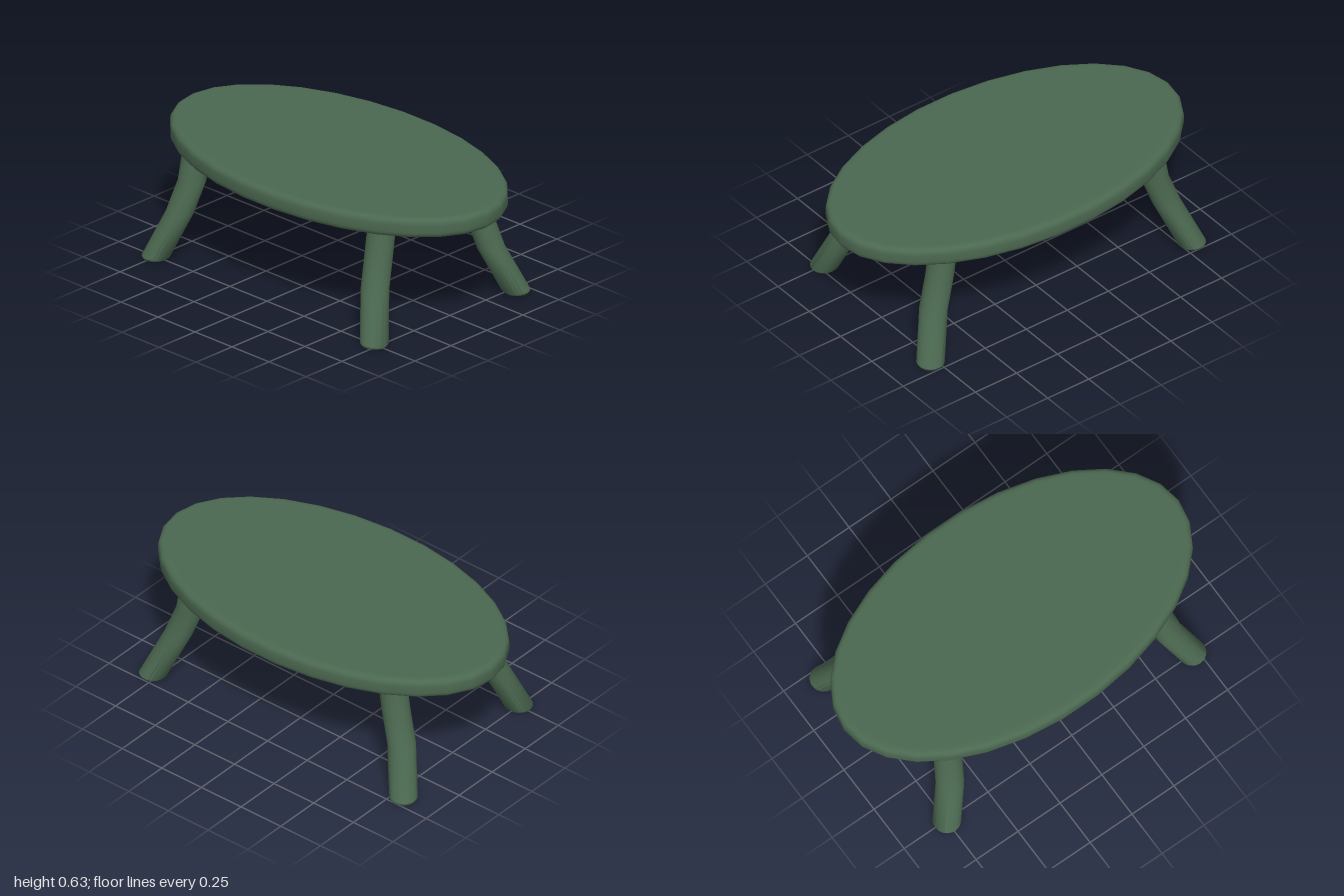
import * as THREE from 'three';
import { toCreasedNormals } from 'three/addons/utils/BufferGeometryUtils.js';

const material = new THREE.MeshStandardMaterial({ color: 0x4b6850 });

// Oval slab with a rounded rim of even width, 30 sides
function tabletopGeometry() {
  const y0 = 0.535, y1 = 0.635, r = 0.03, rx = 1, rz = 0.575, steps = 4;
  const profile = [new THREE.Vector2(0, y0), new THREE.Vector2(0.95, y0)];
  for (const [cy, start] of [[y0 + r, -Math.PI / 2], [y1 - r, 0]]) {
    for (let i = 0; i <= steps; i++) {
      const a = start + (i / steps) * Math.PI / 2;
      profile.push(new THREE.Vector2(rx - r + r * Math.cos(a), cy + r * Math.sin(a)));
    }
  }
  profile.push(new THREE.Vector2(0.95, y1), new THREE.Vector2(0, y1));

  const geometry = new THREE.LatheGeometry(profile, 30, Math.PI / 2);
  const pos = geometry.attributes.position;
  for (let i = 0; i < pos.count; i++) {
    const x = pos.getX(i), z = pos.getZ(i), radius = Math.hypot(x, z);
    // narrow in z while keeping the rim as wide as it is in x
    const narrow = radius > 0.9 ? rz - (rx - radius) : radius * (rz - 0.1) / 0.9;
    pos.setZ(i, radius > 0 ? z / radius * narrow : 0);
  }
  return toCreasedNormals(geometry, 0.6);
}

// Bent round leg: horizontal rings [x, y, z, radius], foot first, closed at both ends
function legGeometry(rings) {
  const sides = 24;
  const geometry = new THREE.CylinderGeometry(1, 1, rings.length - 1, sides, rings.length - 1);
  const pos = geometry.attributes.position;
  for (let i = 0; i < pos.count; i++) {
    const [cx, cy, cz, r] = rings[Math.round(pos.getY(i) + (rings.length - 1) / 2)];
    pos.setXYZ(i, cx + pos.getX(i) * r, cy, cz + pos.getZ(i) * r);
  }
  return toCreasedNormals(geometry, 0.75);
}

export function createModel() {
  const group = new THREE.Group();
  const add = (name, geometry) => {
    const mesh = new THREE.Mesh(geometry, material);
    mesh.name = name;
    group.add(mesh);
  };

  add('tabletop', tabletopGeometry());

  // Leg centre lines from foot to top: x, z at each height
  const heights = [0, 0.01, 0.24, 0.4, 0.56];
  const frontX = [0.738, 0.734, 0.655, 0.627, 0.622];
  const frontZ = [0.502, 0.499, 0.414, 0.358, 0.33];
  const backX = [0.795, 0.792, 0.707, 0.652, 0.625];
  const backZ = [-0.436, -0.433, -0.345, -0.321, -0.316];
  for (const [end, xs, zs] of [['front', frontX, frontZ], ['back', backX, backZ]]) {
    for (const [side, s] of [['Left', 1], ['Right', -1]]) {
      // the set of legs sits slightly toward the right
      const rings = heights.map((y, i) =>
        [s * xs[i] - 0.013, y, zs[i] + Math.sign(zs[i]) * s * -0.004, i === 0 ? 0.062 : 0.07]);
      add(end + side + 'Leg', legGeometry(rings));
    }
  }
  return group;
}
